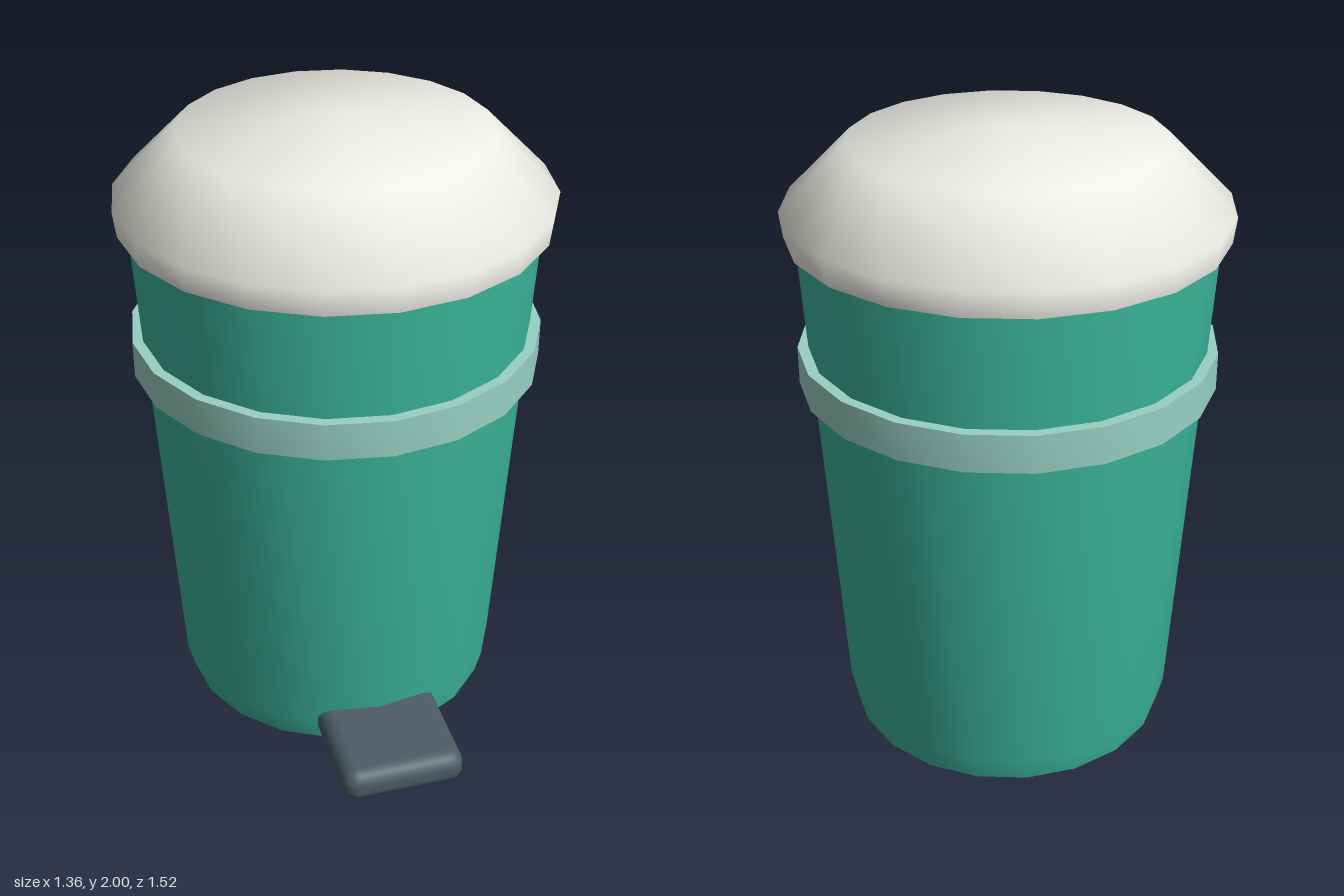
import * as THREE from 'three';
import { toCreasedNormals } from 'three/addons/utils/BufferGeometryUtils.js';
import { RoundedBoxGeometry } from 'three/addons/geometries/RoundedBoxGeometry.js';

const SIDES = 20;
const AXIS_Z = -0.08; // the bin sits slightly back, the pedal sticks out in front

function addPart(group, name, geometry, color) {
  const mesh = new THREE.Mesh(geometry, new THREE.MeshStandardMaterial({ color }));
  mesh.name = name;
  group.add(mesh);
  return mesh;
}

// Turned part from [radius, height] pairs, listed bottom to top; sharp only at rims
function turned(group, name, profile, color) {
  const points = profile.map(([r, y]) => new THREE.Vector2(r, y));
  const geometry = toCreasedNormals(new THREE.LatheGeometry(points, SIDES), 1.13);
  addPart(group, name, geometry, color).position.z = AXIS_Z;
}

export function createModel() {
  const group = new THREE.Group();
  group.name = 'pedalBin';

  // Tapered bucket with a small bevel at the foot
  turned(group, 'body', [[0, 0], [0.52, 0], [0.54, 0.08], [0.64, 1.7], [0, 1.7]], 0x3cb89c);

  // Raised pale band around the bucket
  turned(group, 'band', [[0.58, 1.2], [0.65, 1.2], [0.65, 1.32], [0.58, 1.32]], 0x98d0c2);

  // Domed lid overhanging the bucket
  turned(group, 'lid', [[0, 1.68], [0.67, 1.68], [0.68, 1.76], [0.48, 1.96], [0, 2]], 0xeeece6);

  // Foot pedal, running into the bucket
  const pedal = addPart(group, 'pedal', new RoundedBoxGeometry(0.4, 0.115, 0.42, 3, 0.05), 0x4c5c66);
  pedal.position.set(0, 0.083, 0.55);

  return group;
}
